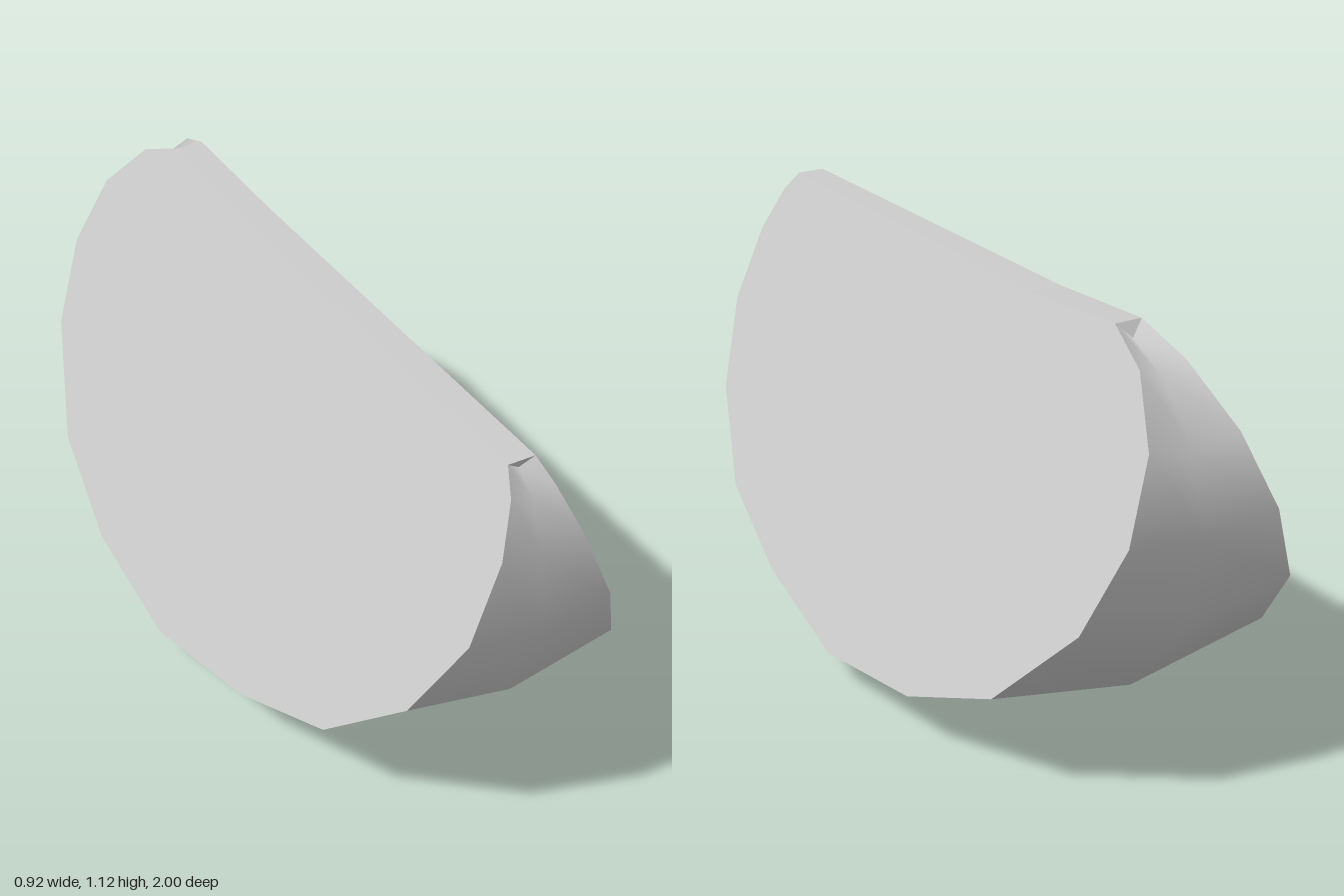
import * as THREE from 'three';

// Half width of the wedge: both cut faces are planes
const halfWidth = (z, y) => 0.037 + 0.42 * (1.095 - y - 0.035 * z);

// Rind from front top, under the belly, to back top: edge z, edge y, centre z, centre y
const RIND = [
  [0.89, 1.065, 0.88, 1.04], [0.94, 1.01, 0.94, 0.99], [0.99, 0.89, 0.985, 0.87],
  [1, 0.69, 1, 0.665], [0.9, 0.47, 0.9, 0.41], [0.67, 0.27, 0.67, 0.2],
  [0.35, 0.16, 0.345, 0.07], [-0.04, 0.095, -0.04, 0], [-0.42, 0.15, -0.42, 0.06],
  [-0.73, 0.28, -0.73, 0.205], [-0.945, 0.515, -0.945, 0.46], [-1, 0.73, -1, 0.7],
  [-0.95, 0.92, -0.95, 0.895], [-0.82, 1.06, -0.82, 1.03], [-0.68, 1.12, -0.7, 1.085],
];
// Narrow ridge along the top, back to front
const RIDGE = [[-0.68, 1.12], [-0.33, 1.09], [0.89, 1.065]];

// Skin over rows of three points: left edge, centre, right edge
function loft(rows) {
  const pos = [], index = [];
  rows.forEach(([z, y, cz, cy], r) => {
    const w = halfWidth(z, y);
    pos.push(w, y, z, 0, cy, cz, -w, y, z);
    if (r === rows.length - 1) return;
    for (let c = 0; c < 2; c++) {
      const a = r * 3 + c;
      index.push(a, a + 1, a + 3, a + 1, a + 4, a + 3);
    }
  });
  const g = new THREE.BufferGeometry();
  g.setAttribute('position', new THREE.Float32BufferAttribute(pos, 3));
  g.setIndex(index);
  g.computeVertexNormals();
  return g;
}

// Flat cut face; side is +1 for left, -1 for right
function cutFace(side) {
  const outline = [...RIND, RIDGE[1]].map(([z, y]) => new THREE.Vector2(-z * side, y));
  const g = new THREE.ShapeGeometry(new THREE.Shape(outline));
  const p = g.attributes.position;
  for (let i = 0; i < p.count; i++) {
    const z = -p.getX(i) * side, y = p.getY(i);
    p.setXYZ(i, side * halfWidth(z, y), y, z);
  }
  g.computeVertexNormals();
  return g;
}

export function createModel() {
  const group = new THREE.Group();
  group.name = 'wedge';
  const grey = new THREE.MeshStandardMaterial({ color: 0xcccccc });
  grey.name = 'light grey';
  const add = (name, geometry) => {
    const mesh = new THREE.Mesh(geometry, grey);
    mesh.name = name;
    group.add(mesh);
  };

  add('rind', loft(RIND));
  add('leftCutFace', cutFace(1));
  add('rightCutFace', cutFace(-1));
  // The ridge also closes the small notches where the rind dips at each end
  const ridge = RIDGE.map(([z, y]) => [z, y, z, y]);
  const ridgeGeometry = loft([RIND[RIND.length - 1], ...ridge, RIND[0]]).toNonIndexed();
  ridgeGeometry.computeVertexNormals();
  add('topRidge', ridgeGeometry);
  return group;
}
